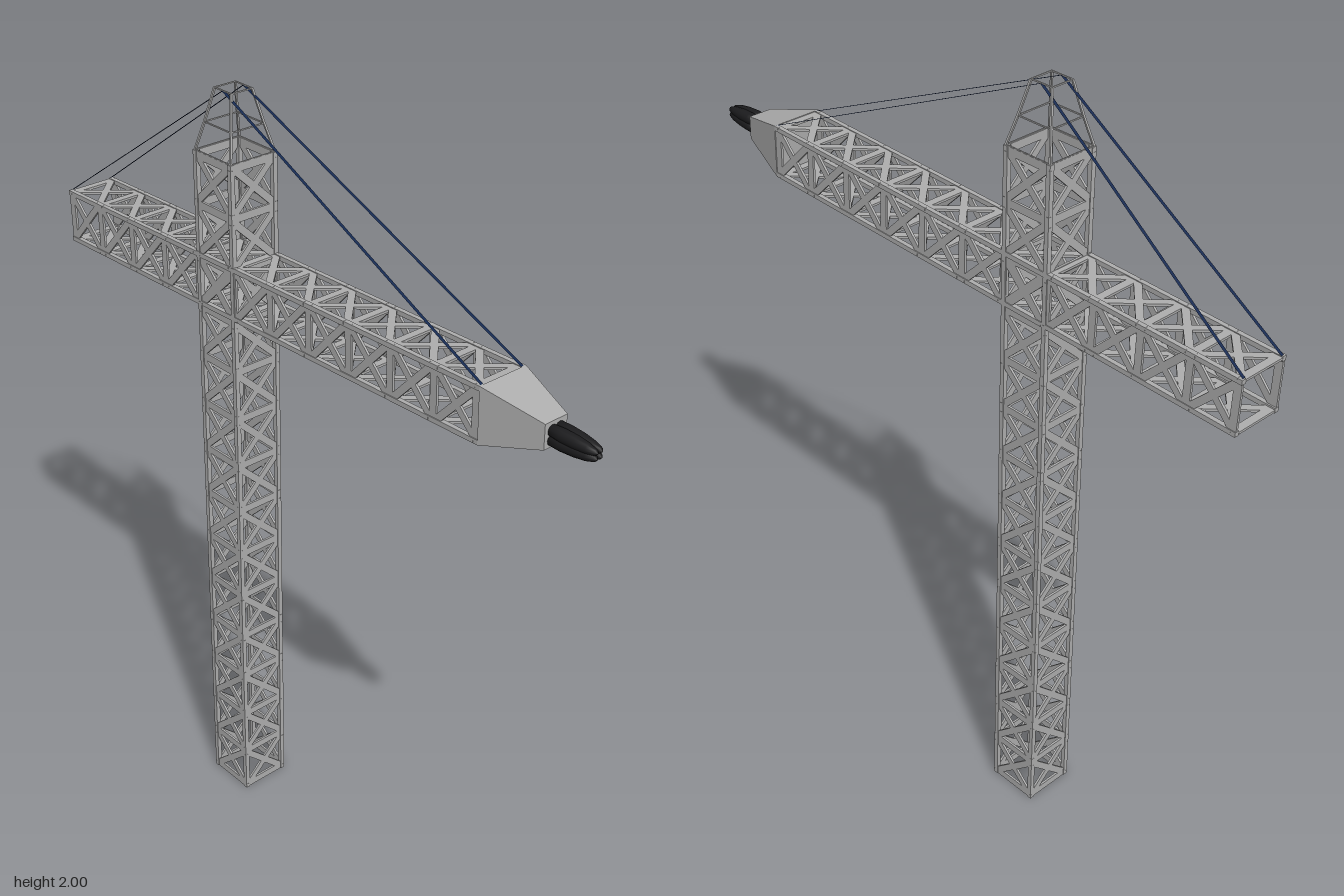
import * as THREE from 'three';

const steel = new THREE.MeshStandardMaterial({ color: 0xaeaeae, flatShading: true, side: THREE.DoubleSide });
const black = new THREE.MeshStandardMaterial({ color: 0x1c1c1e, side: THREE.DoubleSide });
const navy = new THREE.MeshStandardMaterial({ color: 0x14284f, side: THREE.DoubleSide });

const V = (x, y, z) => new THREE.Vector3(x, y, z);

// Flat bar from a to b: width lies across the face, depth along the face normal (0 depth = ribbon)
function bar(name, a, b, width, depth, normal = V(0, 0, 1), material = steel) {
  const dir = b.clone().sub(a);
  const length = dir.length();
  const geometry = depth > 0
    ? new THREE.BoxGeometry(width, length, depth)
    : new THREE.PlaneGeometry(width, length);
  const mesh = new THREE.Mesh(geometry, material);
  const y = dir.normalize();
  const x = y.clone().cross(normal).normalize();
  const z = x.clone().cross(y);
  mesh.quaternion.setFromRotationMatrix(new THREE.Matrix4().makeBasis(x, y, z));
  mesh.position.copy(a).add(b).multiplyScalar(0.5);
  mesh.name = name;
  return mesh;
}

// Square lattice column rising along y from its base
function lattice(name, bays, length, half) {
  const group = new THREE.Group();
  group.name = name;
  const step = length / bays;
  const leg = 0.012;
  const c = half - leg / 2;
  for (const x of [-c, c]) for (const z of [-c, c]) {
    group.add(bar('cornerLeg', V(x, 0, z), V(x, length, z), leg, leg));
  }
  for (let side = 0; side < 4; side++) {
    const face = new THREE.Group();
    face.name = 'latticeFace';
    face.rotation.y = side * Math.PI / 2;
    const d = half - 0.005;
    for (let i = 0; i <= bays; i++) {
      const y = THREE.MathUtils.clamp(i * step, 0.01, length - 0.01);
      face.add(bar('crossBar', V(-c, y, d), V(c, y, d), 0.02, 0.006));
      if (i === bays) continue;
      const y0 = i * step + 0.006, y1 = (i + 1) * step - 0.006;
      face.add(bar('diagonal', V(-c, y0, d), V(c, y1, d), 0.018, 0.006));
      face.add(bar('diagonal', V(c, y0, d), V(-c, y1, d), 0.018, 0.006));
    }
    group.add(face);
  }
  return group;
}

export function createModel() {
  const model = new THREE.Group();
  model.name = 'latticeCrane';
  const mastZ = -0.265, mastTop = 1.85, half = 0.069;

  // Mast
  const mast = lattice('mast', 14, mastTop, half);
  mast.position.z = mastZ;
  model.add(mast);

  // Tapered open frame of thin rods on the mast
  const peak = new THREE.Group();
  peak.name = 'mastPeak';
  peak.position.z = mastZ;
  const levels = [[mastTop, 0.065], [1.917, 0.048], [1.998, 0.03]];
  for (let side = 0; side < 4; side++) {
    const frame = new THREE.Group();
    frame.name = 'peakSide';
    frame.rotation.y = side * Math.PI / 2;
    for (let i = 0; i < 2; i++) {
      const [y0, r0] = levels[i], [y1, r1] = levels[i + 1];
      frame.add(bar('peakStrut', V(r0, y0, r0), V(r1, y1, r1), 0.005, 0.005));
    }
    for (const [y, r] of levels) {
      frame.add(bar('peakRung', V(-r, y, r), V(r, y, r), 0.003, 0.003));
    }
    peak.add(frame);
  }
  model.add(peak);

  // Boom, slightly raised toward the front; its local z runs along its length
  const boom = new THREE.Group();
  boom.name = 'boom';
  boom.position.set(0, 1.532, -0.133);
  boom.rotation.x = -0.025;
  const boomLength = 1.468;
  const truss = lattice('boomTruss', 11, boomLength, half);
  truss.rotation.x = Math.PI / 2;
  truss.position.z = -boomLength / 2;
  boom.add(truss);

  // Solid tapering nose
  const noseGeo = new THREE.BoxGeometry(2 * half, 2 * half, 0.15);
  const p = noseGeo.attributes.position;
  for (let i = 0; i < p.count; i++) {
    if (p.getZ(i) > 0) p.setXY(i, Math.sign(p.getX(i)) * 0.033, Math.sign(p.getY(i)) * 0.03 - 0.002);
  }
  noseGeo.computeVertexNormals();
  const nose = new THREE.Mesh(noseGeo, steel);
  nose.name = 'nose';
  nose.position.z = boomLength / 2 + 0.075;
  boom.add(nose);
  model.add(boom);

  // Dark level tip: four rounded lobes closing toward a blunt point
  const tip = new THREE.Group();
  tip.name = 'tip';
  tip.position.set(0, 1.55, 0.748);
  const profile = [[0, 0], [0.013, 0], [0.0155, 0.03], [0.015, 0.065], [0.012, 0.095], [0.007, 0.115], [0, 0.122]]
    .map(([r, y]) => new THREE.Vector2(r, y));
  const lobeGeo = new THREE.LatheGeometry(profile, 12);
  for (const x of [-1, 1]) for (const y of [-1, 1]) {
    const lobe = new THREE.Mesh(lobeGeo, black);
    lobe.name = 'tipLobe';
    lobe.rotation.set(Math.PI / 2 + y * 0.035, 0, x * 0.035);
    lobe.position.set(x * 0.011, y * 0.011, 0);
    tip.add(lobe);
  }
  model.add(tip);

  // Flat ribbon stays from the peak to both ends of the boom
  for (const s of [-1, 1]) {
    const top = V(s * 0.03, 1.998, mastZ);
    for (const [name, end] of [
      ['frontStay', V(s * 0.06, 1.618, 0.6)],
      ['rearStay', V(s * 0.06, 1.583, -0.865)],
    ]) {
      const run = end.clone().sub(top);
      const normal = V(0, Math.abs(run.z), -run.y * Math.sign(run.z)).normalize();
      model.add(bar(name, top, end, 0.008, 0, normal, navy));
    }
  }
  return model;
}
